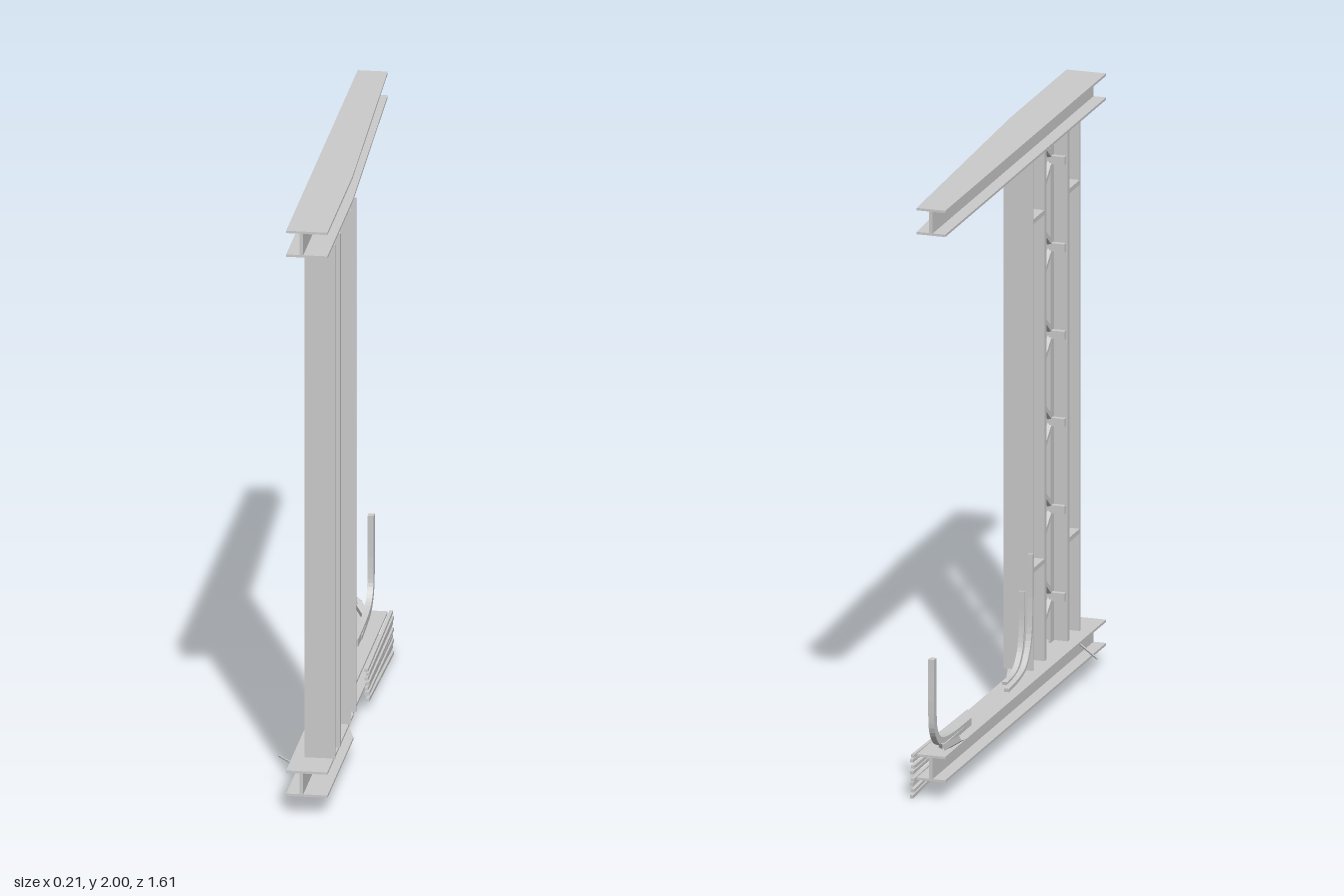
import * as THREE from 'three';

const mat = new THREE.MeshStandardMaterial({ color: 0xcccccc, flatShading: true });

export function createModel() {
  const root = new THREE.Group();

  const add = (name, geo, parent = root) => {
    const m = new THREE.Mesh(geo, mat);
    m.name = name;
    parent.add(m);
    return m;
  };
  // box given by its extents on each axis
  const box = (name, x0, x1, y0, y1, z0, z1, parent) => {
    const g = new THREE.BoxGeometry(x1 - x0, y1 - y0, z1 - z0);
    g.translate((x0 + x1) / 2, (y0 + y1) / 2, (z0 + z1) / 2);
    return add(name, g, parent);
  };
  // square bar between two points
  const bar = (name, a, b, w, h, parent) => {
    const p = new THREE.Vector3(...a), q = new THREE.Vector3(...b);
    const m = add(name, new THREE.BoxGeometry(w, h, p.distanceTo(q)), parent);
    m.position.copy(p).add(q).multiplyScalar(0.5);
    m.lookAt(q);
    return m;
  };
  // horizontal plate cut to an outline of [x, z] corners
  const plate = (name, outline, y, t, parent) => {
    const s = new THREE.Shape(outline.map(([x, z]) => new THREE.Vector2(x, -z)));
    const g = new THREE.ExtrudeGeometry(s, { depth: t, bevelEnabled: false });
    g.rotateX(-Math.PI / 2);
    g.translate(0, y, 0);
    return add(name, g, parent);
  };

  // horizontal I-beams, each with one tapered flange edge
  const beam = (name, y0, y1, outline) => {
    const g = new THREE.Group();
    g.name = name;
    root.add(g);
    const t = 0.008;
    plate('lowerFlange', outline, y0, t, g);
    plate('upperFlange', outline, y1 - t, t, g);
    box('web', 0.003, 0.016, y0 + t, y1 - t, -0.79, 0.81, g);
  };
  beam('topBeam', 1.911, 2.0,
    [[-0.04, 0.81], [0.095, 0.81], [0.095, 0.25], [0.058, -0.79], [-0.04, -0.79]]);
  beam('bottomBeam', 0.065, 0.152,
    [[-0.04, 0.81], [0.095, 0.81], [0.095, 0.23], [0.058, 0.1], [0.058, -0.79], [-0.04, -0.79]]);

  // upright H-columns with small cleats on the -x side
  const Y0 = 0.152, Y1 = 1.911, T = 0.009;
  for (const [name, z0, z1] of [['frontColumn', 0.552, 0.672], ['rearColumn', 0.197, 0.322]]) {
    const g = new THREE.Group();
    g.name = name;
    root.add(g);
    box('flange', 0, 0.1, Y0, Y1, z0, z0 + T, g);
    box('flange', 0, 0.1, Y0, Y1, z1 - T, z1, g);
    box('web', 0.045, 0.055, Y0, Y1, z0 + T, z1 - T, g);
    for (const y of [0.49, 1.67]) box('cleat', 0, 0.045, y - 0.008, y + 0.008, z0 + T, z1 - T, g);
  }

  // lattice post: two angle chords and zigzag rods
  const lattice = new THREE.Group();
  lattice.name = 'latticePost';
  root.add(lattice);
  box('frontChord', 0.046, 0.054, Y0, Y1, 0.508, 0.545, lattice);
  box('frontChordLeg', 0.0, 0.1, Y0, Y1, 0.543, 0.551, lattice);
  box('rearChord', 0.046, 0.054, Y0, Y1, 0.328, 0.362, lattice);
  box('rearChordLeg', 0.0, 0.1, Y0, Y1, 0.323, 0.331, lattice);
  for (let i = 0; i < 6; i++) {
    const yf = 0.31 + i * 0.2955, yr = 0.17 + i * 0.2945;
    bar('diagonal', [0.05, yr, 0.355], [0.05, yf - 0.012, 0.515], 0.015, 0.015, lattice);
    bar('diagonal', [0.05, yf + 0.012, 0.515], [0.05, yr + 0.28, 0.355], 0.015, 0.015, lattice);
    box('rodEnd', -0.002, 0.05, yf - 0.014, yf + 0.014, 0.505, 0.522, lattice);
  }

  // bent flat bars: strip of given width swept along a curved [z, y] centreline
  const bentBar = (name, pts, x, w, t) => {
    const curve = new THREE.CatmullRomCurve3(
      pts.map(([z, y]) => new THREE.Vector3(z, y, 0)), false, 'centripetal');
    const near = [], far = [];
    for (let i = 0; i <= 20; i++) {
      const p = curve.getPoint(i / 20), d = curve.getTangent(i / 20);
      near.push(new THREE.Vector2(p.x - d.y * t / 2, p.y + d.x * t / 2));
      far.unshift(new THREE.Vector2(p.x + d.y * t / 2, p.y - d.x * t / 2));
    }
    const g = new THREE.ExtrudeGeometry(new THREE.Shape([...near, ...far]),
      { depth: w, bevelEnabled: false });
    g.rotateY(-Math.PI / 2); // outline x becomes z
    g.translate(x + w / 2, 0, 0);
    add(name, g);
  };
  bentBar('columnBentBar', [[0.19, 0.55], [0.187, 0.36], [0.172, 0.26], [0.125, 0.19],
    [0.06, 0.168], [-0.05, 0.158]], 0.005, 0.018, 0.012);
  bentBar('columnBentBar', [[0.193, 0.42], [0.19, 0.3], [0.17, 0.22], [0.12, 0.172],
    [0.02, 0.158]], 0.035, 0.018, 0.01);
  bentBar('endBentBar', [[-0.79, 0.48], [-0.79, 0.3], [-0.78, 0.235], [-0.74, 0.19],
    [-0.65, 0.17], [-0.43, 0.164]], 0.004, 0.02, 0.026);

  // bar branching sideways from the end bent bar
  bar('branchBar', [-0.1, 0.225, -0.79], [-0.035, 0.18, -0.77], 0.028, 0.018);
  bar('branchBar', [-0.037, 0.181, -0.771], [0.0, 0.163, -0.7], 0.026, 0.016);
  bar('branchBar', [0.0, 0.163, -0.71], [0.005, 0.16, -0.5], 0.024, 0.014);

  // thin rod poking out of the lower web
  bar('sideRod', [-0.105, 0.105, 0.535], [0.005, 0.105, 0.675], 0.005, 0.005);

  // fanned loose rods beside the lower beam
  const rods = [[0.137, 0.147], [0.124, 0.13], [0.108, 0.11], [0.092, 0.09],
    [0.074, 0.066], [0.058, 0.052], [0.056, 0.03], [0.036, 0.009]];
  rods.forEach(([ya, yb], i) => {
    const x = 0.068 + (i % 2) * 0.004;
    bar('looseRod', [x, ya, -0.245], [x, yb, -0.8], 0.011, 0.011);
  });

  return root;
}
